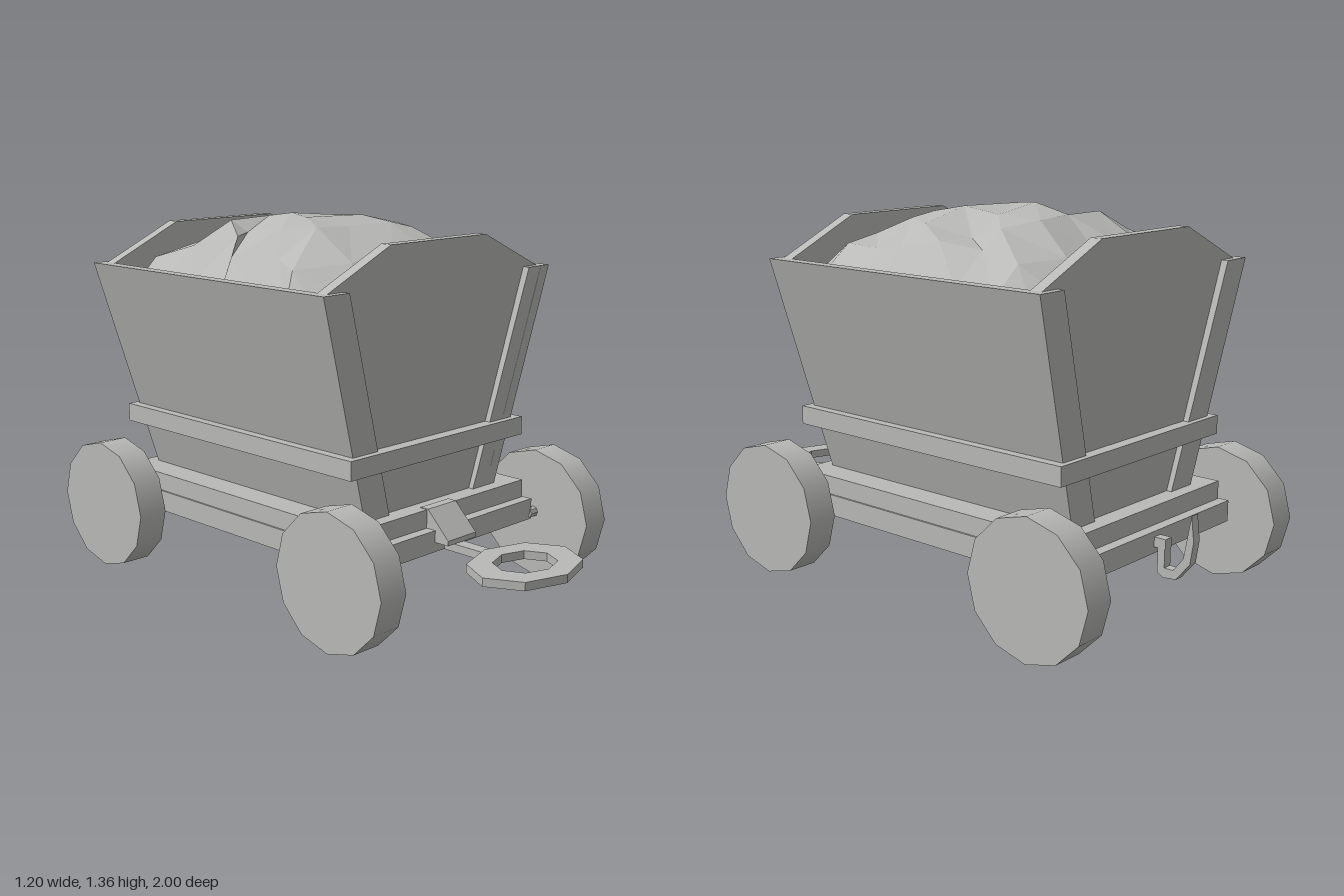
import * as THREE from 'three';

function flatColour(name, color) {
  const m = new THREE.MeshStandardMaterial({ color });
  m.name = name;
  return m;
}
const grey = flatColour('grey', 0xb9b9b7);
const darkGrey = flatColour('darkGrey', 0x646464);
const charcoal = flatColour('charcoal', 0x4e4e4e);

// Adds a mesh to its parent, faceted unless smooth is set
function add(parent, name, geometry, material = grey, smooth = false) {
  let g = geometry;
  if (!smooth) {
    if (g.index) g = g.toNonIndexed();
    g.computeVertexNormals();
  }
  const mesh = new THREE.Mesh(g, material);
  mesh.name = name;
  parent.add(mesh);
}

// Box given by its limits on each axis
function box(x0, x1, y0, y1, z0, z1) {
  return new THREE.BoxGeometry(x1 - x0, y1 - y0, z1 - z0)
    .translate((x0 + x1) / 2, (y0 + y1) / 2, (z0 + z1) / 2);
}

// Tapered box: rectangles [x0, x1, z0, z1] at the bottom and the top
function taper(y0, y1, bottom, top) {
  const g = new THREE.BoxGeometry(1, 1, 1);
  const p = g.attributes.position;
  for (let i = 0; i < p.count; i++) {
    const up = p.getY(i) > 0;
    const r = up ? top : bottom;
    p.setXYZ(i, r[p.getX(i) > 0 ? 1 : 0], up ? y1 : y0, r[p.getZ(i) > 0 ? 3 : 2]);
  }
  return g;
}

function shapeOf(points) {
  return new THREE.Shape(points.map(([x, y]) => new THREE.Vector2(x, y)));
}

// Side outline in (z, y) extruded across x
function acrossX(points, x0, x1) {
  return new THREE.ExtrudeGeometry(shapeOf(points), { depth: x1 - x0, bevelEnabled: false })
    .rotateY(-Math.PI / 2).translate(x1, 0, 0);
}

const MID = -0.17; // middle of the body along z

function buildHopper() {
  const hopper = new THREE.Group();
  hopper.name = 'hopper';
  for (const s of [1, -1]) {
    const span = (a, b) => (s > 0 ? [a, b] : [-b, -a]);
    // Sloping long sides
    add(hopper, 'sideWall', taper(0.37, 1.17,
      [...span(0.295, 0.343), -0.74, 0.40], [...span(0.53, 0.577), -0.785, 0.447]));
    // Corner posts at both ends
    for (const e of [1, -1]) {
      const depth = (d) => [MID + e * d, MID + e * (d - 0.035)].sort((a, b) => a - b);
      add(hopper, 'cornerPost', taper(0.37, 1.17,
        [...span(0.222, 0.343), ...depth(0.57)], [...span(0.46, 0.577), ...depth(0.616)]));
    }
  }
  // End panels with raised tops, leaning outward
  const outline = [[-0.315, 0.37], [0.315, 0.37], [0.535, 1.17],
    [0.235, 1.305], [-0.25, 1.305], [-0.535, 1.17]];
  for (const e of [1, -1]) {
    const g = new THREE.ExtrudeGeometry(shapeOf(outline), { depth: 0.045, bevelEnabled: false });
    g.translate(0, 0, 0.505);
    const p = g.attributes.position;
    for (let i = 0; i < p.count; i++) p.setZ(i, p.getZ(i) + (p.getY(i) - 0.375) * 0.05);
    if (e < 0) g.rotateY(Math.PI);
    add(hopper, 'endPanel', g.translate(0, 0, MID));
  }
  add(hopper, 'hopperBand', box(-0.45, 0.45, 0.546, 0.614, -0.775, 0.44));
  return hopper;
}

// Faceted mound of loose ore
function buildHeap() {
  let seed = 11;
  const rnd = () => (seed = (seed * 16807) % 2147483647) / 2147483647;
  const g = new THREE.PlaneGeometry(2, 2, 7, 7).rotateX(-Math.PI / 2);
  const p = g.attributes.position;
  for (let i = 0; i < p.count; i++) {
    let u = p.getX(i), w = p.getZ(i), dip = 0;
    if (Math.abs(u) < 0.99 && Math.abs(w) < 0.99) {
      u += (rnd() - 0.5) * 0.2;
      w += (rnd() - 0.5) * 0.2;
      dip = rnd() * rnd() * 0.06;
    }
    const fall = 0.22 * Math.sqrt(Math.abs(u) ** 5 + Math.abs(w) ** 5);
    const y = 1.365 - fall - dip;
    p.setXYZ(i, u * (0.31 + 0.2956 * (y - 0.375)), y, MID + w * 0.555);
  }
  return g;
}

export function createModel() {
  const cart = new THREE.Group();
  cart.name = 'oreCart';

  // Chassis: wide base with a shorter tier on top and a dark underside
  add(cart, 'chassisBase', box(-0.457, 0.457, 0.227, 0.305, -0.83, 0.49));
  add(cart, 'chassisTop', box(-0.45, 0.45, 0.305, 0.372, -0.79, 0.45));
  add(cart, 'chassisUnderside', new THREE.PlaneGeometry(0.914, 1.32)
    .rotateX(Math.PI / 2).translate(0, 0.224, MID), darkGrey);

  cart.add(buildHopper());
  add(cart, 'oreHeap', buildHeap());

  // Axle stubs and twelve-sided wheels
  for (const z of [0.48, -0.76]) {
    for (const s of [1, -1]) {
      add(cart, 'axleStub', new THREE.CylinderGeometry(0.02, 0.02, 0.05, 8)
        .rotateZ(Math.PI / 2).translate(s * 0.472, 0.248, z));
      add(cart, 'wheel', new THREE.CylinderGeometry(0.243, 0.243, 0.115, 12)
        .rotateZ(Math.PI / 2).translate(s * 0.5425, 0.243, z), grey, true);
    }
  }

  // Front coupling: wedge, bar and eight-sided ring
  add(cart, 'couplingWedge', acrossX(
    [[0.42, 0.262], [0.55, 0.262], [0.55, 0.28], [0.455, 0.375], [0.42, 0.375]], -0.085, 0.062));
  add(cart, 'drawBar', box(-0.035, 0.015, 0.226, 0.255, 0.47, 0.7));
  const octagon = (rx, ry) => Array.from({ length: 8 }, (_, i) => {
    const a = (i * Math.PI) / 4;
    return new THREE.Vector2(rx * Math.cos(a), ry * Math.sin(a));
  });
  const ring = new THREE.Shape(octagon(0.223, 0.175));
  ring.holes.push(new THREE.Path(octagon(0.122, 0.1)));
  add(cart, 'couplingRing', new THREE.ExtrudeGeometry(ring, { depth: 0.03, bevelEnabled: false })
    .rotateX(-Math.PI / 2).translate(-0.01, 0.227, 0.825));
  add(cart, 'ringUnderside', new THREE.ShapeGeometry(ring)
    .rotateX(Math.PI / 2).translate(-0.01, 0.224, 0.825), charcoal);

  // Rear hook on a short peg, curling down, out and up to a point
  add(cart, 'hookPeg', box(-0.028, 0.008, 0.25, 0.285, -0.875, -0.82));
  add(cart, 'rearHook', acrossX([[-0.845, 0.255], [-0.845, 0.165], [-0.87, 0.15], [-0.92, 0.155],
    [-0.973, 0.22], [-0.985, 0.30], [-0.974, 0.39], [-0.958, 0.30],
    [-0.947, 0.235], [-0.908, 0.185], [-0.873, 0.185], [-0.873, 0.255]], -0.028, 0.008));
  return cart;
}
